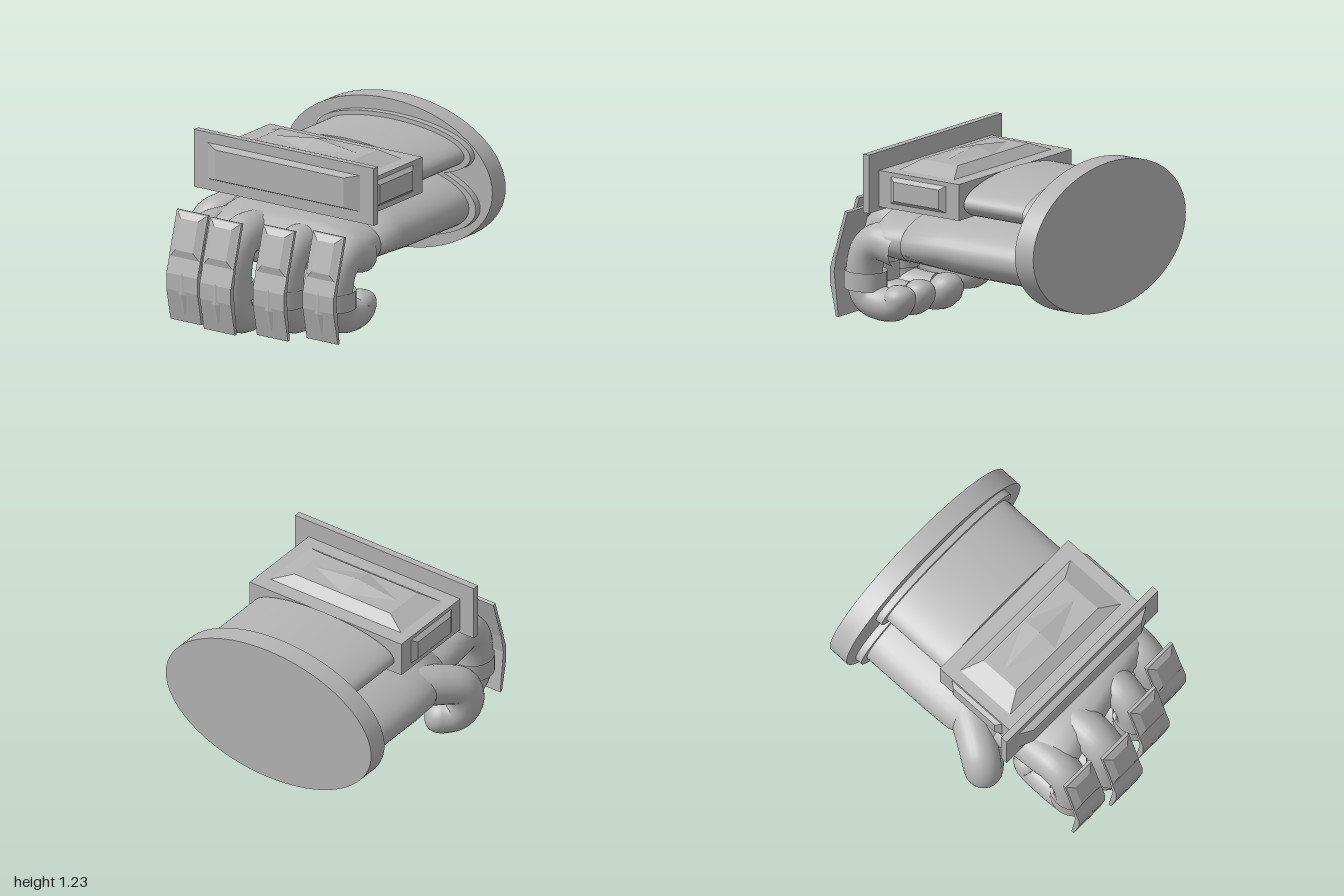
import * as THREE from 'three';
import { mergeVertices } from 'three/addons/utils/BufferGeometryUtils.js';

const grey = new THREE.MeshStandardMaterial({ color: 0xb4b4b4 });
grey.name = 'grey';
const greyOpen = new THREE.MeshStandardMaterial({ color: 0xb4b4b4, side: THREE.DoubleSide });
greyOpen.name = 'grey';

function add(parent, name, geometry, material = grey) {
  const mesh = new THREE.Mesh(geometry, material);
  mesh.name = name;
  parent.add(mesh);
  return mesh;
}

// Elliptical disc lying along x
function ellipse(x0, x1, y, z, ry, rz) {
  return new THREE.CylinderGeometry(1, 1, x1 - x0, 72)
    .rotateZ(-Math.PI / 2).scale(1, ry, rz).translate((x0 + x1) / 2, y, z);
}

// Box from its limits
function block(x0, x1, y0, y1, z0, z1) {
  return new THREE.BoxGeometry(x1 - x0, y1 - y0, z1 - z0)
    .translate((x0 + x1) / 2, (y0 + y1) / 2, (z0 + z1) / 2);
}

// Bevelled panel rising from y = 0, with its upper face shrunk by an inset
function bevel(w, d, h, insetX, insetZ = insetX) {
  const g = new THREE.BoxGeometry(w, h, d).translate(0, h / 2, 0);
  const p = g.attributes.position;
  for (let i = 0; i < p.count; i++) {
    if (p.getY(i) > h / 2) {
      p.setX(i, p.getX(i) * (1 - 2 * insetX / w));
      p.setZ(i, p.getZ(i) * (1 - 2 * insetZ / d));
    }
  }
  g.computeVertexNormals();
  return g;
}

// Four-sided pointed stud rising from y = 0
function stud(rx, rz, h) {
  const g = new THREE.ConeGeometry(1, h, 4).toNonIndexed();
  g.scale(rx, 1, rz).translate(0, h / 2, 0);
  g.computeVertexNormals();
  return g;
}

// Smooth skin along x; section = [x, yMin, yMax, zMin, zMax, skew]
function loft(sections, power, n = 56) {
  const pos = [], idx = [];
  const round = (v) => Math.sign(v) * Math.abs(v) ** (2 / power);
  sections.forEach(([x, y0, y1, z0, z1, skew = 0], i) => {
    for (let j = 0; j < n; j++) {
      const a = (j / n) * Math.PI * 2;
      const z = (z0 + z1) / 2 + round(Math.cos(a)) * (z1 - z0) / 2;
      pos.push(x + skew * (z - 0.1), (y0 + y1) / 2 + round(Math.sin(a)) * (y1 - y0) / 2, z);
      if (i < sections.length - 1) {
        const k = i * n + j, m = i * n + (j + 1) % n;
        idx.push(k, m, k + n, m, m + n, k + n);
      }
    }
  });
  const g = new THREE.BufferGeometry();
  g.setAttribute('position', new THREE.Float32BufferAttribute(pos, 3));
  g.setIndex(idx);
  g.computeVertexNormals();
  return g;
}

// Tapered tube with a rounded tip
function limb(points, r0, r1, capLength) {
  const curve = new THREE.CatmullRomCurve3(points.map((p) => new THREE.Vector3(...p)));
  const n = 56, sides = 24;
  const g = new THREE.TubeGeometry(curve, n, 1, sides);
  const p = g.attributes.position, v = new THREE.Vector3();
  for (let i = 0; i <= n; i++) {
    const t = i / n, c = curve.getPointAt(t);
    const e = Math.max(0, (t - 1 + capLength) / capLength);
    const r = Math.max(0.0005, (r0 + (r1 - r0) * t) * Math.sqrt(Math.max(0, 1 - e * e)));
    for (let j = 0; j <= sides; j++) {
      const k = i * (sides + 1) + j;
      v.fromBufferAttribute(p, k).sub(c).multiplyScalar(r).add(c);
      p.setXYZ(k, v.x, v.y, v.z);
    }
  }
  g.deleteAttribute('uv');
  g.deleteAttribute('normal');
  const smooth = mergeVertices(g, 1e-5);
  smooth.computeVertexNormals();
  return smooth;
}

// Curled finger with its band and armour plates
function finger(name, z, dx, top, bottom, plateX, r) {
  const group = new THREE.Group();
  group.name = name;
  add(group, 'curledFinger', limb([
    [-0.28 + dx * 0.6, 0.58 + top, z], [-0.45 + dx, 0.6 + top, z],
    [-0.54 + dx, 0.53 + top, z], [-0.575 + dx, 0.34, z],
    [-0.53 + dx, 0.22 + bottom, z], [-0.41 + dx * 0.8, 0.185 + bottom, z],
    [-0.3 + dx * 0.5, 0.21 + bottom, z], [-0.28 + dx * 0.5, 0.33 + bottom, z],
  ], r + 0.02, r - 0.005, 0.09));

  // Band around the middle joint
  const bandX = -0.565 + dx;
  add(group, 'fingerBand', new THREE.CylinderGeometry(1, 1, 0.125, 40, 1, true)
    .scale(0.148, 1, 0.13).translate(bandX, 0.335, z), greyOpen);

  // Lower plate, bent in side profile
  const profile = new THREE.Shape([
    [0.055, 0.08], [0.075, 0.08], [0.04, 0.38], [0.065, 0.53],
    [0.045, 0.53], [0.008, 0.41], [0.008, 0.3],
  ].map(([x, y]) => new THREE.Vector2(x + plateX, y)));
  add(group, 'lowerPlate', new THREE.ExtrudeGeometry(profile, { depth: 0.25, bevelEnabled: false })
    .translate(0, 0, z - 0.125));
  const ridge = add(group, 'lowerPlateStud', stud(0.15, 0.075, 0.02).rotateZ(Math.PI / 2));
  ridge.position.set(plateX + 0.023, 0.28, z);
  ridge.rotation.z = 0.12;

  // Upper plate, leaning back over the knuckle
  const upper = new THREE.Group();
  upper.name = 'upperPlate';
  upper.position.set(plateX + 0.094, 0.645 + top * 0.4, z);
  upper.rotation.z = -0.29;
  add(upper, 'upperPlateBase', block(-0.012, 0.012, -0.16, 0.16, -0.125, 0.125));
  add(upper, 'upperPlatePanel', bevel(0.3, 0.23, 0.022, 0.045).rotateZ(Math.PI / 2).translate(-0.012, 0, 0));
  group.add(upper);
  return group;
}

export function createModel() {
  const model = new THREE.Group();
  model.name = 'armouredFist';

  // Cuff and collars
  add(model, 'cuff', ellipse(0.85, 1, 0.735, 0, 0.502, 0.833));
  add(model, 'forearmCollar', ellipse(0.8, 0.86, 0.615, -0.005, 0.275, 0.74));
  add(model, 'upperCollar', ellipse(0.8, 0.86, 0.965, 0.07, 0.185, 0.62));

  // Forearm, upper barrel and its mount
  add(model, 'forearm', loft([
    [0.82, 0.37, 0.86, -0.69, 0.68], [0.25, 0.375, 0.86, -0.69, 0.68],
    [0.08, 0.39, 0.85, -0.685, 0.68], [-0.24, 0.425, 0.82, -0.55, 0.685],
    [-0.24, 0.62, 0.63, 0.05, 0.06],
  ], 2.1));
  add(model, 'upperBarrel', ellipse(0.285, 0.82, 0.965, 0.07, 0.155, 0.57));
  add(model, 'barrelMount', block(0.27, 0.29, 0.89, 1.03, -0.42, 0.55));

  // Palm
  add(model, 'palm', loft([
    [-0.2, 0.422, 0.823, -0.56, 0.686], [-0.35, 0.44, 0.815, -0.53, 0.695, 0.05],
    [-0.47, 0.45, 0.81, -0.52, 0.69, 0.14], [-0.55, 0.47, 0.79, -0.5, 0.67, 0.2],
    [-0.6, 0.52, 0.74, -0.46, 0.63, 0.23], [-0.62, 0.62, 0.64, -0.35, 0.5, 0.23],
  ], 2.3));

  // Thumb, bent down and inwards
  add(model, 'thumb', limb([
    [0.06, 0.63, -0.5], [-0.08, 0.61, -0.59], [-0.21, 0.56, -0.675], [-0.245, 0.45, -0.69],
    [-0.22, 0.345, -0.645], [-0.16, 0.315, -0.57], [-0.08, 0.34, -0.48],
  ], 0.14, 0.115, 0.13));

  // Fingers
  model.add(
    finger('indexFinger', -0.39, -0.19, 0.04, 0.02, -0.95, 0.112),
    finger('middleFinger', -0.085, -0.23, 0.075, -0.055, -1, 0.122),
    finger('ringFinger', 0.275, -0.13, 0.05, -0.025, -0.905, 0.112),
    finger('littleFinger', 0.58, 0, 0, 0, -0.77, 0.112),
  );

  // Housing above the wrist
  const housing = new THREE.Group();
  housing.name = 'housing';
  model.add(housing);
  add(housing, 'housingBox', block(-0.385, 0.275, 0.865, 1.11, -0.55, 0.68));
  add(housing, 'topPanel', bevel(0.45, 1.06, 0.057, 0.075, 0.14).translate(-0.057, 1.11, 0.06));
  add(housing, 'topStud', stud(0.143, 0.343, 0.045).translate(-0.053, 1.166, 0.055));
  for (const side of [1, -1]) {
    const panel = add(housing, 'sidePanel', bevel(0.45, 0.18, 0.028, 0.04, 0.025).rotateX(side * Math.PI / 2));
    panel.position.set(-0.057, 0.992, side > 0 ? 0.68 : -0.55);
  }

  // Guard plate with a raised panel
  add(housing, 'guardPlate', block(-0.428, -0.38, 0.84, 1.235, -0.66, 0.79));
  add(housing, 'guardPanel', bevel(0.25, 1.23, 0.05, 0.022, 0.1)
    .rotateZ(Math.PI / 2).translate(-0.427, 1.04, 0.065));

  return model;
}
